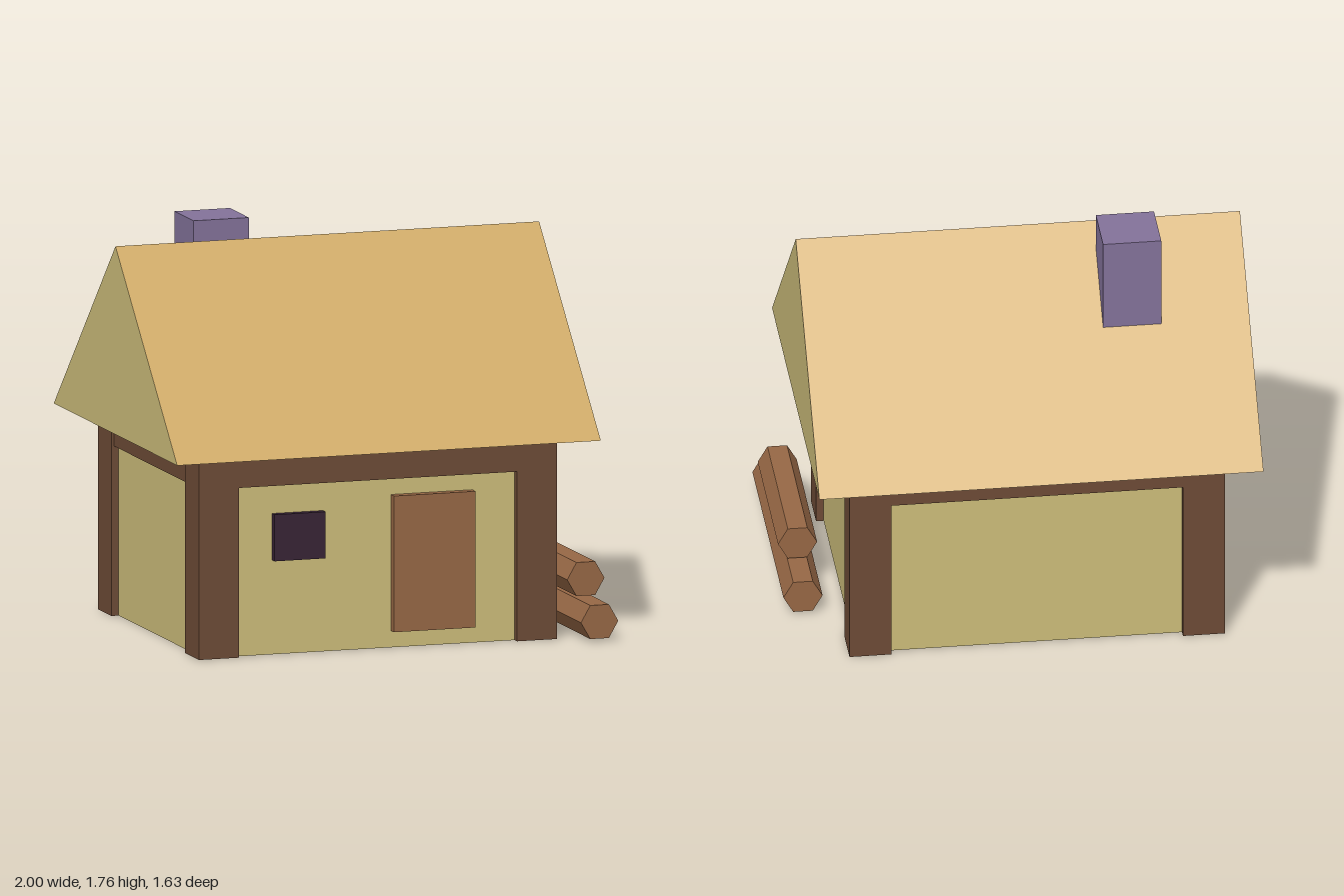
import * as THREE from 'three';

const mat = (name, color, side = THREE.FrontSide) => {
  const m = new THREE.MeshStandardMaterial({ color, side });
  m.name = name;
  return m;
};

export function createModel() {
  const plaster = mat('plaster', 0xcdbd7a, THREE.DoubleSide);
  const thatch = mat('thatch', 0xcca761, THREE.DoubleSide);
  const timber = mat('dark timber', 0x6d4b36);
  const wood = mat('light wood', 0x976845);
  const stone = mat('chimney stone', 0x83729a);
  const glass = mat('dark window', 0x372335);

  const model = new THREE.Group();
  model.name = 'cottage';
  const add = (name, geometry, material, parent = model) => {
    const mesh = new THREE.Mesh(geometry, material);
    mesh.name = name;
    parent.add(mesh);
    return mesh;
  };
  // Box given by its two extreme corners
  const box = (name, material, x0, x1, y0, y1, z0, z1, parent) =>
    add(name, new THREE.BoxGeometry(x1 - x0, y1 - y0, z1 - z0), material, parent)
      .position.set((x0 + x1) / 2, (y0 + y1) / 2, (z0 + z1) / 2);

  const house = new THREE.Group();
  house.name = 'house';
  house.position.x = -0.045;
  model.add(house);
  const W = 0.807, D = 0.667, H = 0.875, P = 0.18, inset = 0.033;

  // Thin plaster walls, open below and above
  for (const s of [-1, 1]) {
    const long = add('longWall', new THREE.PlaneGeometry(2 * (W - inset), H), plaster, house);
    long.position.set(0, H / 2, s * (D - inset));
    if (s < 0) long.rotation.y = Math.PI;
    const end = add('endWall', new THREE.PlaneGeometry(2 * (D - inset), H), plaster, house);
    end.position.set(s * (W - inset), H / 2, 0);
    end.rotation.y = s * Math.PI / 2;
  }

  // Hollow corner posts with pale rims
  const h = P / 2, r = h - 0.022;
  const square = (k) => [[-k, -k], [k, -k], [k, k], [-k, k]].map(([x, y]) => new THREE.Vector2(x, y));
  const section = new THREE.Shape(square(h));
  section.holes.push(new THREE.Path(square(r).reverse()));
  const postGeo = new THREE.ExtrudeGeometry(section, { depth: H - 0.002, bevelEnabled: false });
  postGeo.rotateX(-Math.PI / 2);
  for (const sx of [-1, 1]) for (const sz of [-1, 1]) {
    add('cornerPost', postGeo, [plaster, timber], house).position.set(sx * (W - h), 0, sz * (D - h));
  }

  // Beams along the wall tops; the end beams sit slightly back
  const y0 = 0.735;
  for (const s of [-1, 1]) {
    box('longBeam', timber, -W + P, W - P, y0, H, s * D - (s > 0 ? P : 0), s * D + (s < 0 ? P : 0), house);
    const e = s * (W - 0.012);
    box('endBeam', timber, e - (s > 0 ? P : 0), e + (s < 0 ? P : 0), y0, H, -D + P, D - P, house);
  }

  // Roof: two open slopes and two gable triangles
  const L = 0.955, E = 0.815, rise = 0.815;
  const slope = Math.hypot(E, rise);
  for (const s of [-1, 1]) {
    const side = new THREE.PlaneGeometry(2 * L, slope);
    side.rotateX(-Math.atan2(E, rise));
    if (s < 0) side.rotateY(Math.PI);
    add('roofSlope', side, thatch, house).position.set(0, H + rise / 2, s * E / 2);

    const triangle = new THREE.Shape([
      new THREE.Vector2(-E, 0), new THREE.Vector2(E, 0), new THREE.Vector2(0, rise),
    ]);
    const gable = add('gable', new THREE.ShapeGeometry(triangle), plaster, house);
    gable.rotation.y = s * Math.PI / 2;
    gable.position.set(s * L, H, 0);
  }

  // Chimney runs down inside the roof
  box('chimney', stone, -0.62, -0.37, 0.88, 1.765, -0.335, -0.085);

  // Door and window pass through the front wall
  box('door', wood, 0.025, 0.393, 0.072, 0.662, 0.628, 0.675);
  box('window', glass, -0.51, -0.282, 0.408, 0.61, 0.628, 0.667);

  // Hexagonal logs stacked at the side
  for (const [y, zBack, zFront] of [[0.086, -0.282, 0.787], [0.242, -0.095, 0.605]]) {
    const log = new THREE.CylinderGeometry(0.084, 0.084, zFront - zBack, 6).toNonIndexed();
    log.rotateY(Math.PI / 2);
    log.rotateX(Math.PI / 2);
    log.computeVertexNormals();
    add('log', log, wood).position.set(0.914, y, (zBack + zFront) / 2);
  }

  return model;
}
